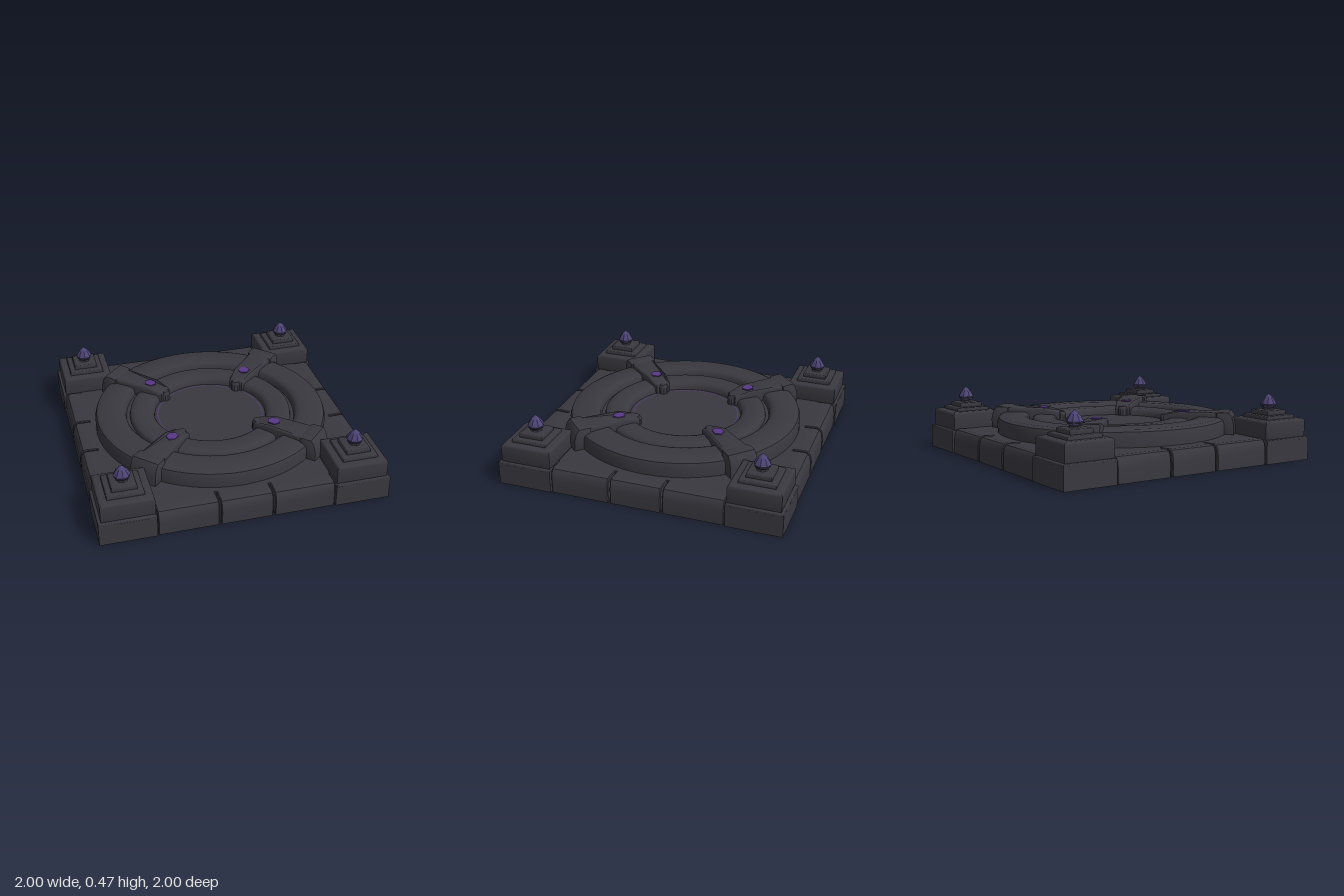
import * as THREE from 'three';
import { toCreasedNormals } from 'three/addons/utils/BufferGeometryUtils.js';

const mat = (name, color, side = THREE.FrontSide) => {
  const m = new THREE.MeshStandardMaterial({ color, side });
  m.name = name;
  return m;
};

export function createModel() {
  const stone = mat('dark stone', 0x39383f);
  const glow = mat('purple inlay', 0x573787, THREE.DoubleSide);
  const gem = mat('dusky crystal', 0x4d4474);
  const root = new THREE.Group();

  const add = (parent, name, geo, material, x = 0, y = 0, z = 0) => {
    const mesh = new THREE.Mesh(geo, material);
    mesh.name = name;
    mesh.position.set(x, y, z);
    parent.add(mesh);
    return mesh;
  };
  const outline = pts => new THREE.Shape(pts.map(p => new THREE.Vector2(...p)));
  const rect = (w, d) => [[-w / 2, -d / 2], [w / 2, -d / 2], [w / 2, d / 2], [-w / 2, d / 2]];
  // Plan outline raised from y0 to y1, with the bevel kept inside the height
  const slab = (shape, y0, y1, b = 0) => {
    const g = new THREE.ExtrudeGeometry(shape, {
      depth: y1 - y0 - 2 * b, bevelEnabled: b > 0, bevelSize: b, bevelThickness: b,
      bevelOffset: -b, bevelSegments: 3, curveSegments: 16,
    });
    g.rotateX(-Math.PI / 2).translate(0, y0 + b, 0);
    return toCreasedNormals(g, 0.6);
  };
  const lathe = (pts, sides, crease) => toCreasedNormals(
    new THREE.LatheGeometry(pts.map(p => new THREE.Vector2(...p)), sides), crease);

  // Floor slab, a cross that leaves the four corners free
  const a = 0.612, c = 0.86;
  add(root, 'floorSlab', slab(outline([
    [-a, -c], [a, -c], [a, -a], [c, -a], [c, a], [a, a],
    [a, c], [-a, c], [-a, a], [-c, a], [-c, -a], [-a, -a],
  ]), 0, 0.175), stone);

  // Three edge stones on every side, separated by open joints
  const edgeProfile = outline([[0.85, 0], [0.992, 0], [0.992, 0.1], [0.984, 0.15],
    [0.968, 0.172], [0.945, 0.179], [0.85, 0.175]]);
  const joints = [-0.615, -0.19, 0.18, 0.615];
  for (let side = 0; side < 4; side++) {
    const edge = new THREE.Group();
    edge.name = 'edgeStones';
    edge.rotation.y = side * Math.PI / 2;
    for (let i = 0; i < 3; i++) {
      const length = joints[i + 1] - joints[i] - 0.012;
      const g = new THREE.ExtrudeGeometry(edgeProfile,
        { depth: length - 0.012, bevelEnabled: true, bevelSize: 0.006, bevelThickness: 0.006, bevelOffset: -0.006, bevelSegments: 1 });
      g.translate(0, 0, -(length - 0.012) / 2).rotateY(-Math.PI / 2);
      add(edge, 'edgeStone', toCreasedNormals(g, 0.6), stone, (joints[i] + joints[i + 1]) / 2);
    }
    root.add(edge);
  }

  // Round dais: outer ring, groove, inner ring and sunken disc
  add(root, 'roundDais', lathe([
    [0.838, 0.16], [0.838, 0.25], [0.828, 0.277], [0.8, 0.291], [0.66, 0.295], [0.632, 0.288],
    [0.618, 0.27], [0.612, 0.235], [0.588, 0.235], [0.582, 0.262], [0.565, 0.275], [0.53, 0.28],
    [0.45, 0.277], [0.422, 0.268], [0.41, 0.25], [0.405, 0.225], [0, 0.225],
  ], 72, 0.7), stone);
  const inlay = new THREE.RingGeometry(0.381, 0.386, 72);
  inlay.rotateX(-Math.PI / 2);
  add(root, 'discInlay', inlay, glow, 0, 0.227, 0);

  // Four diagonal clamps, built along +x and then turned
  const clampShape = outline([[0.385, -0.055], [0.5, -0.075], [0.8, -0.092], [0.8, 0.092], [0.5, 0.075], [0.385, 0.055]]);
  const collarProfile = outline([[0.77, 0.17], [0.9, 0.17], [0.9, 0.24], [0.885, 0.3], [0.86, 0.332], [0.8, 0.333], [0.77, 0.325]]);
  const gemShape = outline([[0.475, 0], [0.495, -0.035], [0.545, -0.035], [0.568, 0], [0.545, 0.035], [0.495, 0.035]]);
  for (let i = 0; i < 4; i++) {
    const clamp = new THREE.Group();
    clamp.name = 'diagonalClamp';
    clamp.rotation.y = Math.PI / 4 + i * Math.PI / 2;
    const arm = slab(clampShape, 0.2, 0.325, 0.015);
    // Lower the tip towards the disc
    const p = arm.attributes.position;
    for (let k = 0; k < p.count; k++) {
      if (p.getY(k) > 0.25) p.setY(k, p.getY(k) - 0.03 * Math.max(0, (0.5 - p.getX(k)) / 0.115));
    }
    add(clamp, 'clampArm', toCreasedNormals(arm, 0.6), stone);
    const collar = new THREE.ExtrudeGeometry(collarProfile,
      { depth: 0.18, bevelEnabled: true, bevelSize: 0.012, bevelThickness: 0.015, bevelOffset: -0.012, bevelSegments: 2 });
    collar.translate(0, 0, -0.09);
    add(clamp, 'clampCollar', toCreasedNormals(collar, 0.6), stone);
    add(clamp, 'clampKnob', lathe([[0.036, 0.2], [0.036, 0.275], [0.026, 0.297], [0, 0.302]], 10, 0.6), stone, 0.39);
    add(clamp, 'clampInlay', slab(gemShape, 0.321, 0.329), glow);
    root.add(clamp);
  }

  // Corner plinths: hollow foot, block, two steps and a crystal finial
  for (const sx of [-1, 1]) for (const sz of [-1, 1]) {
    const corner = new THREE.Group();
    corner.name = 'cornerPlinth';
    corner.position.set(sx * 0.8, 0, sz * 0.8);
    const foot = outline(rect(0.4, 0.4));
    foot.holes.push(new THREE.Path(rect(0.36, 0.36).reverse().map(q => new THREE.Vector2(...q))));
    const shiftX = sx * 0.0075, shiftZ = sz * 0.0075;
    const footMesh = add(corner, 'hollowFoot', slab(foot, 0, 0.152), stone, shiftX, 0, shiftZ);
    footMesh.scale.set(0.9625, 1, 0.9625);
    add(corner, 'footCap', slab(outline(rect(0.385, 0.385)), 0.145, 0.167, 0.008), stone, shiftX, 0, shiftZ);
    add(corner, 'plinthBlock', slab(outline(rect(0.36, 0.36)), 0.155, 0.295, 0.018), stone);
    add(corner, 'lowerStep', slab(outline(rect(0.25, 0.25)), 0.28, 0.32, 0.01), stone);
    add(corner, 'upperStep', slab(outline(rect(0.17, 0.17)), 0.31, 0.352, 0.01), stone);
    add(corner, 'crystalSocket', lathe([[0.045, 0.345], [0.036, 0.362], [0.056, 0.382], [0.05, 0.395]], 8, 0.3), stone);
    add(corner, 'crystal', lathe([[0.05, 0.372], [0.058, 0.392], [0.043, 0.42], [0.022, 0.445], [0, 0.465]], 8, 0.3), gem);
    root.add(corner);
  }
  return root;
}
